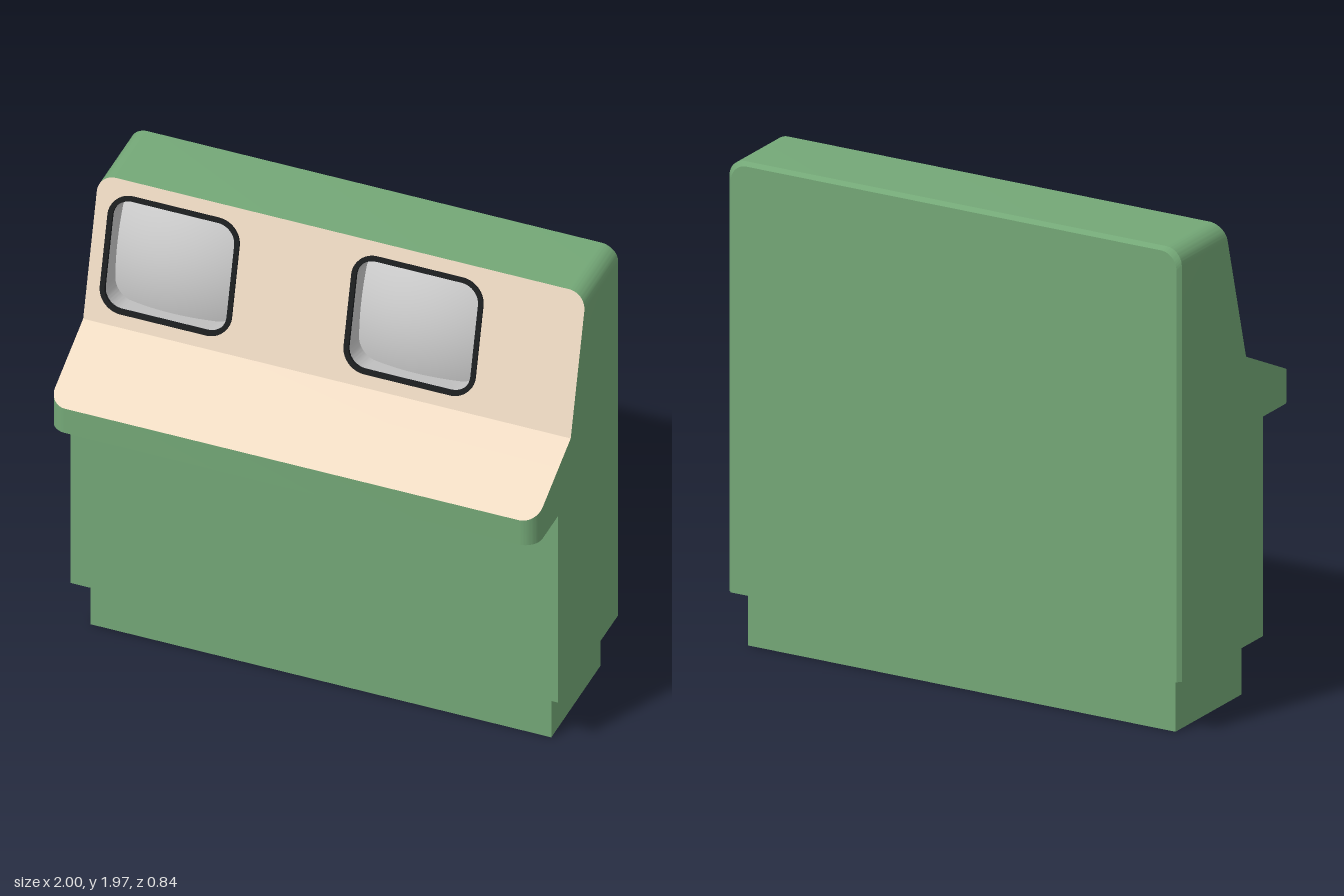
import * as THREE from 'three';
import { toCreasedNormals } from 'three/addons/utils/BufferGeometryUtils.js';

const green = new THREE.MeshStandardMaterial({ color: 0x74a877 });
const beige = new THREE.MeshStandardMaterial({ color: 0xf0dcc4 });
const black = new THREE.MeshStandardMaterial({ color: 0x1c1e20 });
const grey = new THREE.MeshStandardMaterial({ color: 0xcccccc });

const SLOPE = 0.155 / 0.58;            // backward lean of the upper panel
const TILT = Math.atan(SLOPE);
const panelZ = (y) => 0.07 - (y - 1.39) * SLOPE;
const BACK = -0.405;

// Outline with separate radii for the lower and upper corners.
function outline(path, x0, y0, x1, y1, rLow, rTop) {
  path.moveTo(x0 + rLow, y0).lineTo(x1 - rLow, y0);
  if (rLow) path.absarc(x1 - rLow, y0 + rLow, rLow, -Math.PI / 2, 0);
  path.lineTo(x1, y1 - rTop);
  path.absarc(x1 - rTop, y1 - rTop, rTop, 0, Math.PI / 2);
  path.lineTo(x0 + rTop, y1);
  path.absarc(x0 + rTop, y1 - rTop, rTop, Math.PI / 2, Math.PI);
  path.lineTo(x0, y0 + rLow);
  if (rLow) path.absarc(x0 + rLow, y0 + rLow, rLow, Math.PI, Math.PI * 1.5);
  return path;
}

function extrude(shape, depth) {
  return new THREE.ExtrudeGeometry(shape, { depth, bevelEnabled: false, curveSegments: 10 });
}

// Moves each vertex by a rule, then rebuilds normals with sharp edges kept.
function reshape(geometry, rule) {
  const p = geometry.attributes.position;
  const v = new THREE.Vector3();
  for (let i = 0; i < p.count; i++) {
    rule(v.fromBufferAttribute(p, i));
    p.setXYZ(i, v.x, v.y, v.z);
  }
  return toCreasedNormals(geometry, 0.5);
}

function add(parent, name, geometry, material) {
  const mesh = new THREE.Mesh(geometry, material);
  mesh.name = name;
  parent.add(mesh);
  return mesh;
}

function box(parent, name, w, y0, y1, z0, z1) {
  const mesh = add(parent, name, new THREE.BoxGeometry(w, y1 - y0, z1 - z0), green);
  mesh.position.set(0, (y0 + y1) / 2, (z0 + z1) / 2);
}

// Centred rounded rectangle with a rounded opening.
function ring(w, h, r, iw, ih, ir) {
  const shape = outline(new THREE.Shape(), -w / 2, -h / 2, w / 2, h / 2, r, r);
  shape.holes.push(outline(new THREE.Path(), -iw / 2, -ih / 2, iw / 2, ih / 2, ir, ir));
  return shape;
}

// Recessed display: raised bezel, grey liner and bulging screen.
function createDisplay(x) {
  const display = new THREE.Group();
  display.name = 'display';
  const bezel = extrude(ring(0.54, 0.486, 0.095, 0.5, 0.446, 0.075), 0.014);
  bezel.translate(0, 0, -0.006);
  add(display, 'bezel', toCreasedNormals(bezel, 0.5), black);

  const liner = extrude(ring(0.535, 0.481, 0.09, 0.5, 0.446, 0.075), 0.17);
  liner.translate(0, 0, -0.175);
  add(display, 'recessWall', toCreasedNormals(liner, 0.5), grey);

  const screen = new THREE.PlaneGeometry(0.53, 0.476, 20, 20);
  const p = screen.attributes.position;
  for (let i = 0; i < p.count; i++) {
    p.setZ(i, -0.03 - 0.86 * (p.getX(i) ** 2 + p.getY(i) ** 2));
  }
  screen.computeVertexNormals();
  add(display, 'screen', screen, grey);

  display.position.set(x, 1.68, panelZ(1.68));
  display.rotation.x = -TILT;
  return display;
}

export function createModel() {
  const model = new THREE.Group();
  model.name = 'console';

  // Plinth and cabinet
  box(model, 'plinth', 1.89, 0, 0.225, -0.36, 0.13);
  box(model, 'cabinet', 2, 0.225, 1.11, BACK, 0.195);
  box(model, 'cabinetShoulder', 2, 1.11, 1.39, BACK, 0.07);

  // Back panel with chamfered sides and top
  const back = extrude(outline(new THREE.Shape(), -1, 0.225, 1, 1.97, 0, 0.07), 0.015);
  add(model, 'backPanel', reshape(back, (v) => {
    if (v.z < 0.007) {
      v.x *= 0.985;
      v.y = 0.225 + (v.y - 0.225) * 0.991;
    }
    v.z -= 0.42;
  }), green);

  // Hood with leaning front panel and two openings
  const displayX = [-0.675, 0.325];
  const hoodShape = outline(new THREE.Shape(), -1, 1.39, 1, 1.97, 0, 0.07);
  for (const x of displayX) {
    hoodShape.holes.push(outline(new THREE.Path(), x - 0.26, 1.455, x + 0.26, 1.905, 0.08, 0.08));
  }
  add(model, 'hood', reshape(extrude(hoodShape, 1), (v) => {
    const inOpening = Math.abs(v.x) < 0.96 && v.y > 1.4 && v.y < 1.93;
    if (v.z > 0.5) {
      v.z = panelZ(v.y);
    } else {
      // openings run square to the panel
      if (inOpening) v.y -= (panelZ(v.y) - BACK) * SLOPE;
      v.z = BACK;
    }
  }), [beige, green]);
  for (const x of displayX) model.add(createDisplay(x));

  // Desk ledge with rounded front corners and sloping top
  const ledgeShape = outline(new THREE.Shape(), -1, -0.42, 1, -0.07, 0.07, 0.0001);
  const ledge = extrude(ledgeShape, 1);
  ledge.rotateX(-Math.PI / 2);
  add(model, 'deskLedge', reshape(ledge, (v) => {
    v.y = v.y > 0.5 ? 1.225 + (0.42 - v.z) * (0.165 / 0.35) : 1.11;
  }), [beige, green]);

  return model;
}
